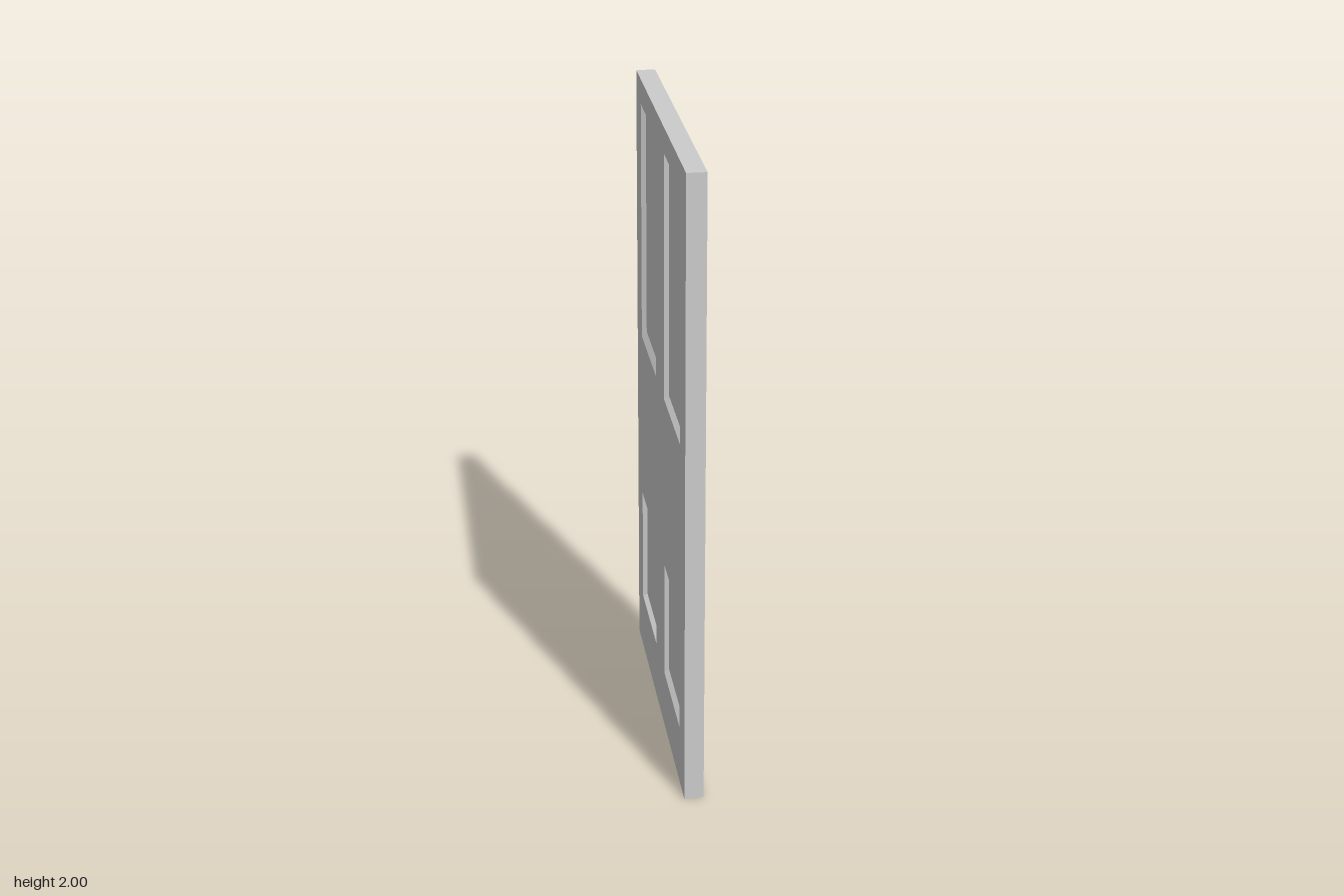
import * as THREE from 'three';

const HALF_WIDTH = 0.555, HEIGHT = 2, HALF_THICK = 0.03, RECESS = 0.015;

// Each recess: opening [x0, y0, x1, y1] and slope widths at side, bottom, top
const PANELS = [
  { name: 'upperPanelA', rect: [-0.445, 1.14, -0.10, 1.92], side: 0.004, bottom: 0.012, top: 0.011 },
  { name: 'upperPanelB', rect: [0.09, 1.14, 0.445, 1.92], side: 0.009, bottom: 0.018, top: 0.018 },
  { name: 'lowerPanelA', rect: [-0.445, 0.19, -0.10, 0.577], side: 0.004, bottom: 0.012, top: 0.01 },
  { name: 'lowerPanelB', rect: [0.09, 0.19, 0.445, 0.577], side: 0.004, bottom: 0.007, top: 0.006 },
];

const material = new THREE.MeshStandardMaterial({ color: 0xcccccc, flatShading: true });

// Corners of a rectangle, counter-clockwise seen from +z
const corners = ([x0, y0, x1, y1]) => [[x0, y0], [x1, y0], [x1, y1], [x0, y1]];

// Four flat quads joining rectangle a at depth za to rectangle b at depth zb
function band(a, za, b, zb) {
  const p = corners(a).map(([x, y]) => [x, y, za]);
  const q = corners(b).map(([x, y]) => [x, y, zb]);
  const positions = [];
  for (let i = 0; i < 4; i++) {
    const j = (i + 1) % 4;
    positions.push(...p[i], ...p[j], ...q[j], ...p[i], ...q[j], ...q[i]);
  }
  const geometry = new THREE.BufferGeometry();
  geometry.setAttribute('position', new THREE.Float32BufferAttribute(positions, 3));
  geometry.computeVertexNormals();
  return geometry;
}

const outline = (rect) => corners(rect).map(([x, y]) => new THREE.Vector2(x, y));

function add(parent, name, geometry, z = 0) {
  const mesh = new THREE.Mesh(geometry, material);
  mesh.name = name;
  mesh.position.z = z;
  parent.add(mesh);
}

// One face of the door with its four recessed panels; mirror flips the layout
function makeFace(name, mirror) {
  const face = new THREE.Group();
  face.name = name;
  const board = new THREE.Shape(outline([-HALF_WIDTH, 0, HALF_WIDTH, HEIGHT]));
  for (const { name: panel, rect, side, bottom, top } of PANELS) {
    const [x0, y0, x1, y1] = rect;
    const open = mirror ? [-x1, y0, -x0, y1] : rect;
    const inner = [open[0] + side, y0 + bottom, open[2] - side, y1 - top];
    board.holes.push(new THREE.Path(outline(open).reverse()));
    add(face, panel + 'Bevel', band(open, HALF_THICK, inner, HALF_THICK - RECESS));
    add(face, panel, new THREE.ShapeGeometry(new THREE.Shape(outline(inner))), HALF_THICK - RECESS);
  }
  add(face, 'board', new THREE.ShapeGeometry(board), HALF_THICK);
  return face;
}

export function createModel() {
  const door = new THREE.Group();
  door.name = 'door';

  // Outer edges of the slab
  const slab = [-HALF_WIDTH, 0, HALF_WIDTH, HEIGHT];
  add(door, 'edges', band(slab, -HALF_THICK, slab, HALF_THICK));

  // Matching panelled faces on both sides
  const back = makeFace('leftFace', true);
  back.name = 'rightFace';
  back.rotation.y = Math.PI;
  door.add(makeFace('leftFace', false), back);

  // Broad sides face +x and -x
  door.rotation.y = Math.PI / 2;
  const model = new THREE.Group();
  model.name = 'panelDoor';
  model.add(door);
  return model;
}
